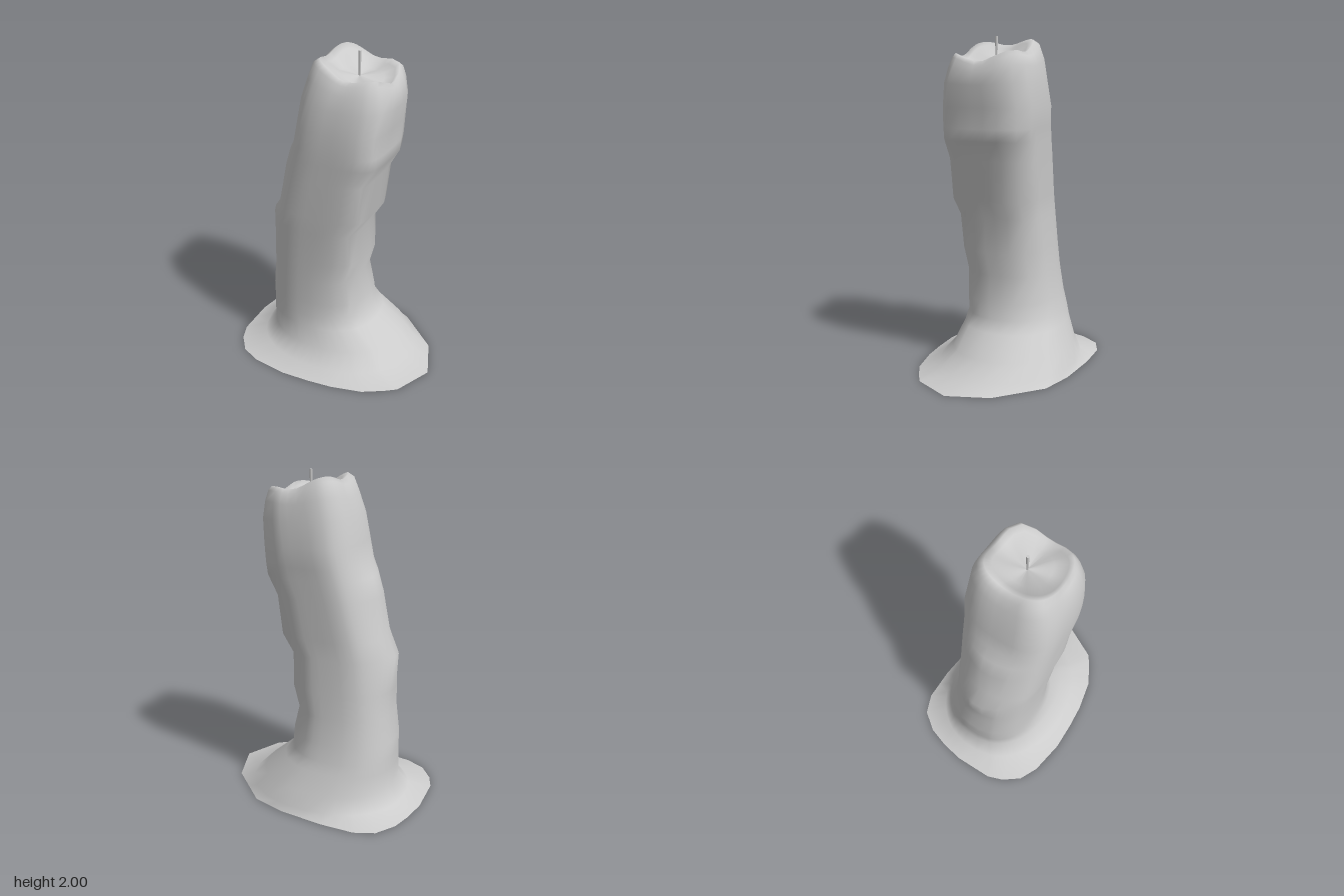
import * as THREE from 'three';

// Foot outline [x, z] of the spread wax, starting at the pointed side
const FOOT = [
  [0.64, 0.07], [0.53, 0.3], [0.46, 0.35], [0.34, 0.42], [0.15, 0.465], [0, 0.48], [-0.18, 0.487],
  [-0.4, 0.455], [-0.52, 0.4], [-0.6, 0.3], [-0.64, 0.2], [-0.65, -0.05], [-0.625, -0.2],
  [-0.59, -0.32], [-0.51, -0.435], [-0.39, -0.485], [-0.18, -0.49], [0.1, -0.465], [0.3, -0.41], [0.55, -0.18],
];

// Cross-sections: [y, xMin, xMax, zMin, zMax, squareness at xMin, at xMax]
const BODY = [
  [0.04, -0.54, 0.47, -0.45, 0.39, 2.2, 2.2],
  [0.13, -0.48, 0.38, -0.41, 0.31, 2.2, 2.2],
  [0.25, -0.475, 0.24, -0.35, 0.275, 2.3, 2.3],
  [0.32, -0.47, 0.185, -0.33, 0.265, 2.3, 2.3],
  [0.42, -0.46, 0.17, -0.3, 0.26, 2.4, 2.5],
  [0.58, -0.44, 0.16, -0.275, 0.26, 2.4, 2.8],
  [0.73, -0.425, 0.175, -0.26, 0.265, 2.4, 3.4],
  [0.94, -0.395, 0.19, -0.245, 0.275, 2.5, 4.2],
  [1.05, -0.365, 0.225, -0.245, 0.285, 2.5, 5],
  [1.29, -0.3, 0.265, -0.255, 0.29, 2.6, 5],
  [1.41, -0.27, 0.305, -0.26, 0.295, 2.6, 5],
  [1.48, -0.245, 0.315, -0.265, 0.295, 2.7, 5],
  [1.6, -0.22, 0.33, -0.275, 0.295, 2.8, 4.5],
  [1.74, -0.19, 0.345, -0.26, 0.28, 3, 3.6],
  [1.84, -0.15, 0.34, -0.25, 0.255, 3.2, 3.3],
  [1.9, -0.12, 0.325, -0.225, 0.23, 3.3, 3.3],
  [1.923, -0.085, 0.31, -0.195, 0.21, 3.3, 3.3],
  [1.9, -0.05, 0.29, -0.165, 0.185, 3.2, 3.2],
  [1.87, 0, 0.24, -0.11, 0.12, 2.6, 2.6],
  [1.86, 0.1, 0.11, -0.005, 0.005, 2, 2],
];

// Wax drips down the two narrow sides: height -> outward offset [at xMin, at xMax]
const DRIPS = {
  0.42: [0.01, 0.01], 0.58: [0, -0.02], 0.73: [0.015, 0.005], 0.94: [0.055, -0.025], 1.05: [0.005, 0.01],
  1.29: [0.04, -0.013], 1.41: [0.025, 0.015], 1.48: [0, 0.01], 1.74: [0, 0.01],
};

// How strongly the rim wave lifts the section at a height
const WAVE = { 1.74: 0.2, 1.84: 0.6, 1.9: 1, 1.923: 1, 1.87: 0.5 };

// Point of a rounded-square section at an angle, with drips and a wavy height near the rim
function sectionPoint([y, x0, x1, z0, z1, n0, n1], angle) {
  const c = Math.cos(angle), s = Math.sin(angle);
  const n = THREE.MathUtils.lerp(n0, n1, (1 + c) / 2);
  const r = (Math.abs(c) ** n + Math.abs(s) ** n) ** (-1 / n);
  const [dripMin, dripMax] = DRIPS[y] ?? [0, 0];
  const drip = c > 0 ? dripMax * c : -dripMin * c ** 8;
  return [
    (x0 + x1) / 2 + (r * c * (x1 - x0)) / 2 + drip,
    y + (WAVE[y] ?? 0) * (-0.048 * c - 0.01 * s - 0.02 * Math.cos(4 * angle)),
    (z0 + z1) / 2 + (r * s * (z1 - z0)) / 2,
  ];
}

function waxGeometry() {
  // Split every foot edge in two so the body has enough columns
  const foot = FOOT.flatMap((p, i) => {
    const q = FOOT[(i + 1) % FOOT.length];
    return [p, [(p[0] + q[0]) / 2, (p[1] + q[1]) / 2]];
  });
  const count = foot.length;
  const angles = foot.map(([x, z]) => Math.atan2(z / 0.49, x / 0.645));
  const positions = foot.flatMap(([x, z]) => [x, 0, z]);
  for (const section of BODY) {
    for (const angle of angles) positions.push(...sectionPoint(section, angle));
  }
  const index = [];
  for (let j = 0; j < BODY.length; j++) {
    for (let i = 0; i < count; i++) {
      const k = (i + 1) % count;
      const a = j * count + i, b = j * count + k;
      index.push(a, a + count, b, b, a + count, b + count);
    }
  }
  const geometry = new THREE.BufferGeometry();
  geometry.setAttribute('position', new THREE.Float32BufferAttribute(positions, 3));
  geometry.setIndex(index);
  geometry.computeVertexNormals();
  return geometry;
}

export function createModel() {
  const group = new THREE.Group();
  group.name = 'candle';

  // Leaning wax column with a flared open foot and a hollow melted top
  const wax = new THREE.Mesh(
    waxGeometry(),
    new THREE.MeshStandardMaterial({ color: 0xcccccc, side: THREE.DoubleSide })
  );
  wax.name = 'wax';
  group.add(wax);

  // Thin wick standing in the hollow
  const wick = new THREE.Mesh(
    new THREE.CylinderGeometry(0.009, 0.006, 0.145, 8),
    new THREE.MeshStandardMaterial({ color: 0xcccccc })
  );
  wick.name = 'wick';
  wick.position.set(0.105, 1.9275, 0);
  group.add(wick);

  return group;
}
